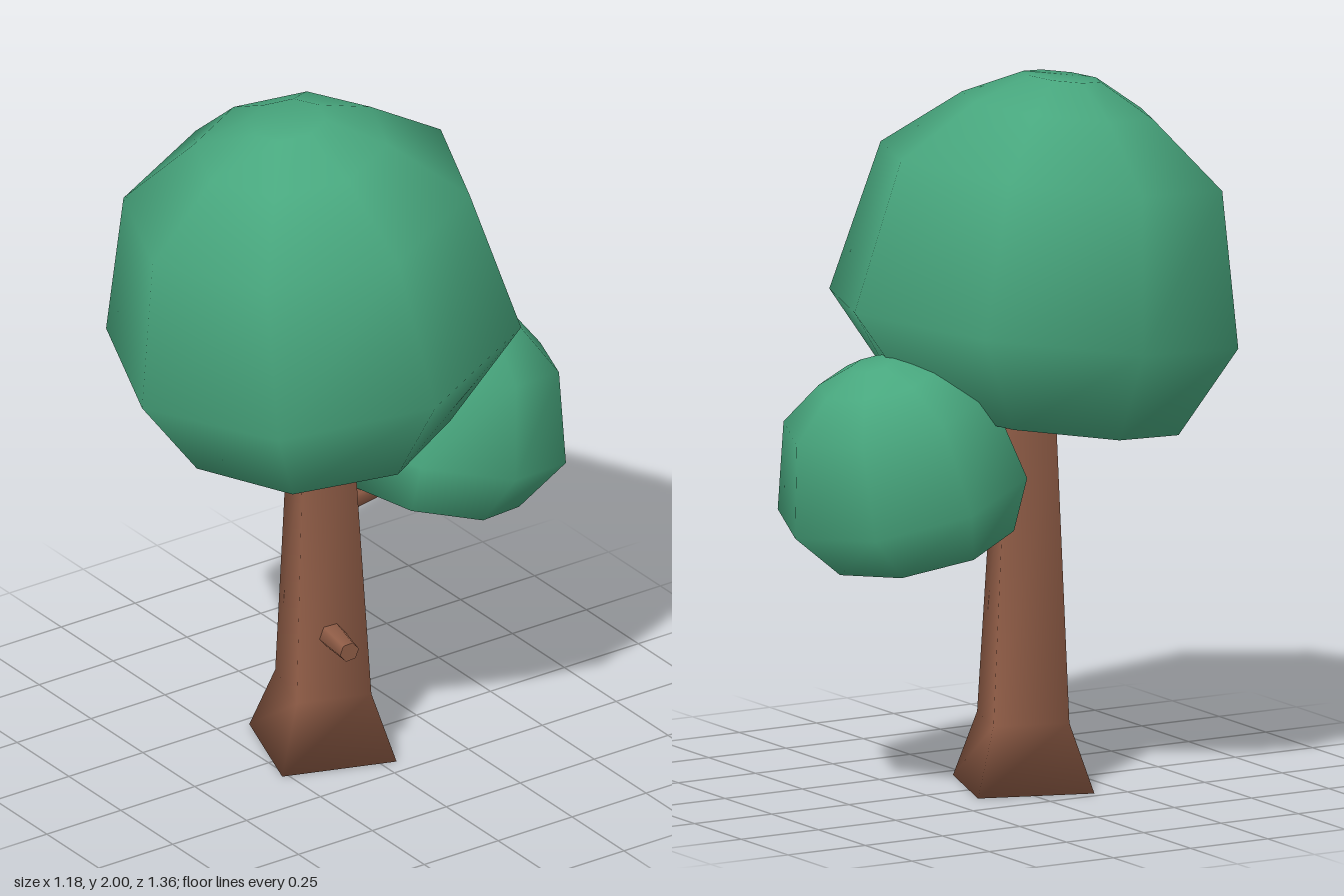
import * as THREE from 'three';

const bark = new THREE.MeshStandardMaterial({ color: 0x8f5c46 });
bark.name = 'bark brown';
const leaf = new THREE.MeshStandardMaterial({ color: 0x48a77e });
leaf.name = 'leaf green';

// Closed, smooth-shaded loft. Each ring is [x, y, z, radiusX, radiusZ];
// slope tips the rings towards the front or back.
function loft(name, material, rings, sides, phase = 0, slope = 0) {
  const pos = [], idx = [];
  for (const [x, y, z, rx, rz] of rings) {
    for (let j = 0; j < sides; j++) {
      const a = phase + (j / sides) * Math.PI * 2;
      const dz = Math.cos(a) * rz;
      pos.push(x + Math.sin(a) * rx, y + slope * dz, z + dz);
    }
  }
  const last = rings.length - 1;
  for (let i = 0; i < last; i++) {
    for (let j = 0; j < sides; j++) {
      const k = (j + 1) % sides;
      const a = i * sides + j, b = i * sides + k;
      idx.push(a, b, b + sides, a, b + sides, a + sides);
    }
  }
  // End caps
  for (let j = 1; j < sides - 1; j++) {
    idx.push(0, j + 1, j);
    idx.push(last * sides, last * sides + j, last * sides + j + 1);
  }
  const geo = new THREE.BufferGeometry();
  geo.setAttribute('position', new THREE.Float32BufferAttribute(pos, 3));
  geo.setIndex(idx);
  geo.computeVertexNormals();
  const mesh = new THREE.Mesh(geo, material);
  mesh.name = name;
  return mesh;
}

// Short tapered branch between two points
function stub(name, from, to, r0, r1) {
  const a = new THREE.Vector3(...from), b = new THREE.Vector3(...to);
  const dir = b.clone().sub(a);
  const mesh = new THREE.Mesh(new THREE.CylinderGeometry(r1, r0, dir.length(), 6), bark);
  mesh.position.copy(a).add(b).multiplyScalar(0.5);
  mesh.quaternion.setFromUnitVectors(new THREE.Vector3(0, 1, 0), dir.normalize());
  mesh.name = name;
  return mesh;
}

export function createModel() {
  const tree = new THREE.Group();
  tree.name = 'tree';

  // Four-sided trunk, twisted off the axes, with a flared foot
  tree.add(loft('trunk', bark, [
    [-0.012, 0, 0.058, 0.233, 0.233],
    [-0.013, 0.19, 0.056, 0.152, 0.152],
    [-0.012, 1.0, 0.065, 0.102, 0.102],
    [-0.012, 1.2, 0.068, 0.09, 0.09],
  ], 4, THREE.MathUtils.degToRad(26)));

  // Branch stubs
  tree.add(stub('sideBranch', [0.02, 0.383, 0.08], [0.19, 0.383, 0.11], 0.042, 0.029));
  tree.add(stub('backBranch', [0, 0.745, 0.02], [0, 0.762, -0.148], 0.044, 0.033));

  // Large crown, leaning forward
  tree.add(loft('mainCrown', leaf, [
    [0, 1.04, 0.115, 0.43, 0.378],
    [0, 1.31, 0.098, 0.588, 0.58],
    [0, 1.735, 0.155, 0.487, 0.487],
    [0, 1.905, 0.175, 0.275, 0.27],
    [0, 1.985, 0.19, 0.11, 0.11],
  ], 8, 0, -0.135));

  // Small crown, leaning back
  tree.add(loft('smallCrown', leaf, [
    [-0.005, 0.72, -0.275, 0.29, 0.257],
    [-0.005, 0.862, -0.33, 0.37, 0.347],
    [-0.005, 1.11, -0.38, 0.3, 0.292],
    [-0.005, 1.2, -0.405, 0.175, 0.172],
    [-0.005, 1.24, -0.425, 0.065, 0.06],
  ], 8, 0, 0.26));

  return tree;
}
